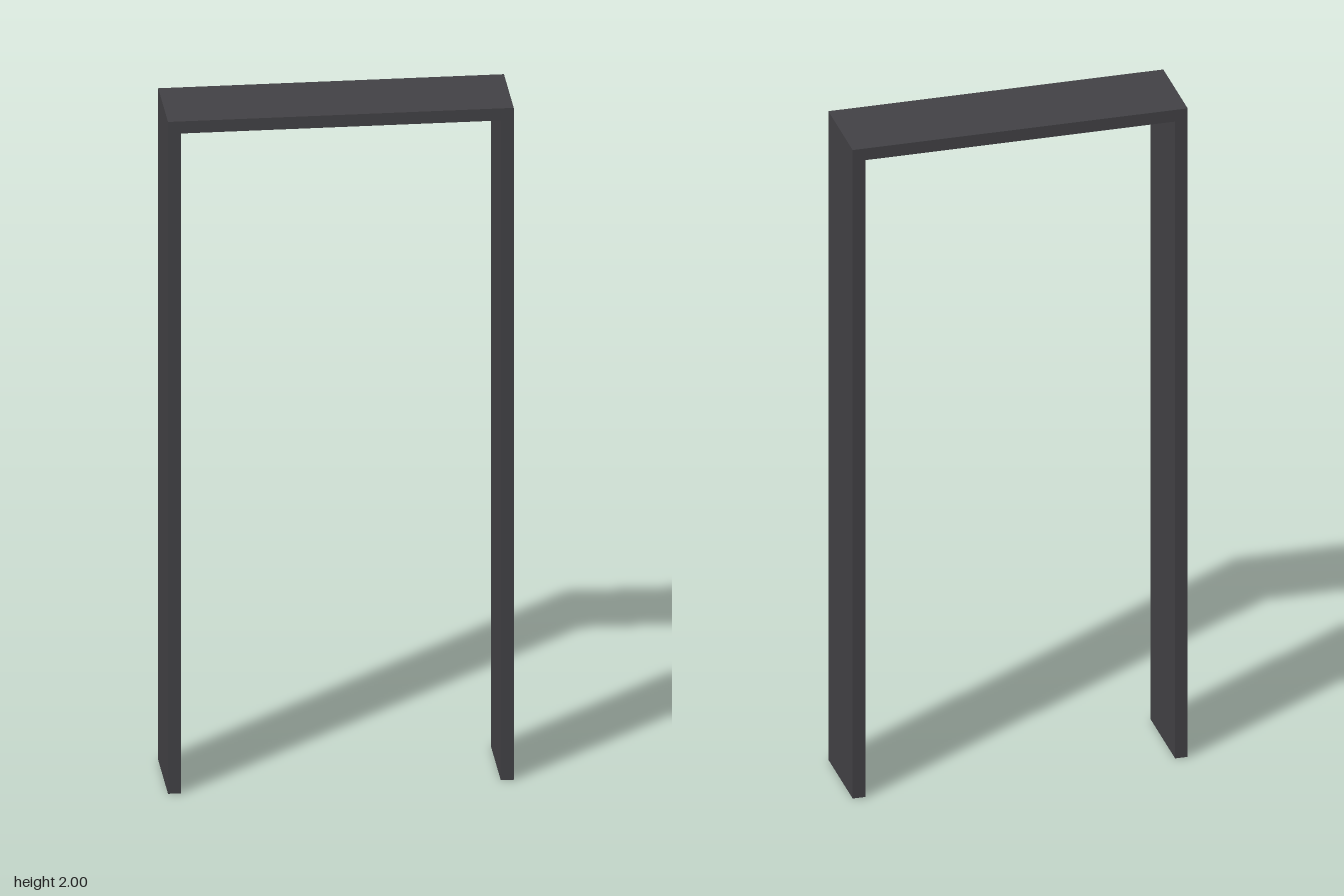
import * as THREE from 'three';

const HALF_WIDTH = 0.48;
const HEIGHT = 2;
const DEPTH = 0.25;
const THICKNESS = 0.036;

export function createModel() {
  const group = new THREE.Group();
  group.name = 'doorFrame';

  const darkGrey = new THREE.MeshStandardMaterial({ color: 0x434246 });
  darkGrey.name = 'dark grey';

  // U-shaped outline of two jambs and the lintel, open at the floor
  const inner = HALF_WIDTH - THICKNESS;
  const outline = new THREE.Shape([
    [-HALF_WIDTH, 0], [-inner, 0], [-inner, HEIGHT - THICKNESS], [inner, HEIGHT - THICKNESS],
    [inner, 0], [HALF_WIDTH, 0], [HALF_WIDTH, HEIGHT], [-HALF_WIDTH, HEIGHT],
  ].map(([x, y]) => new THREE.Vector2(x, y)));

  // Frame lining, one continuous piece centred in depth
  const geometry = new THREE.ExtrudeGeometry(outline, { depth: DEPTH, bevelEnabled: false });
  geometry.translate(0, 0, -DEPTH / 2);
  const frame = new THREE.Mesh(geometry, darkGrey);
  frame.name = 'frameLining';
  group.add(frame);

  return group;
}
